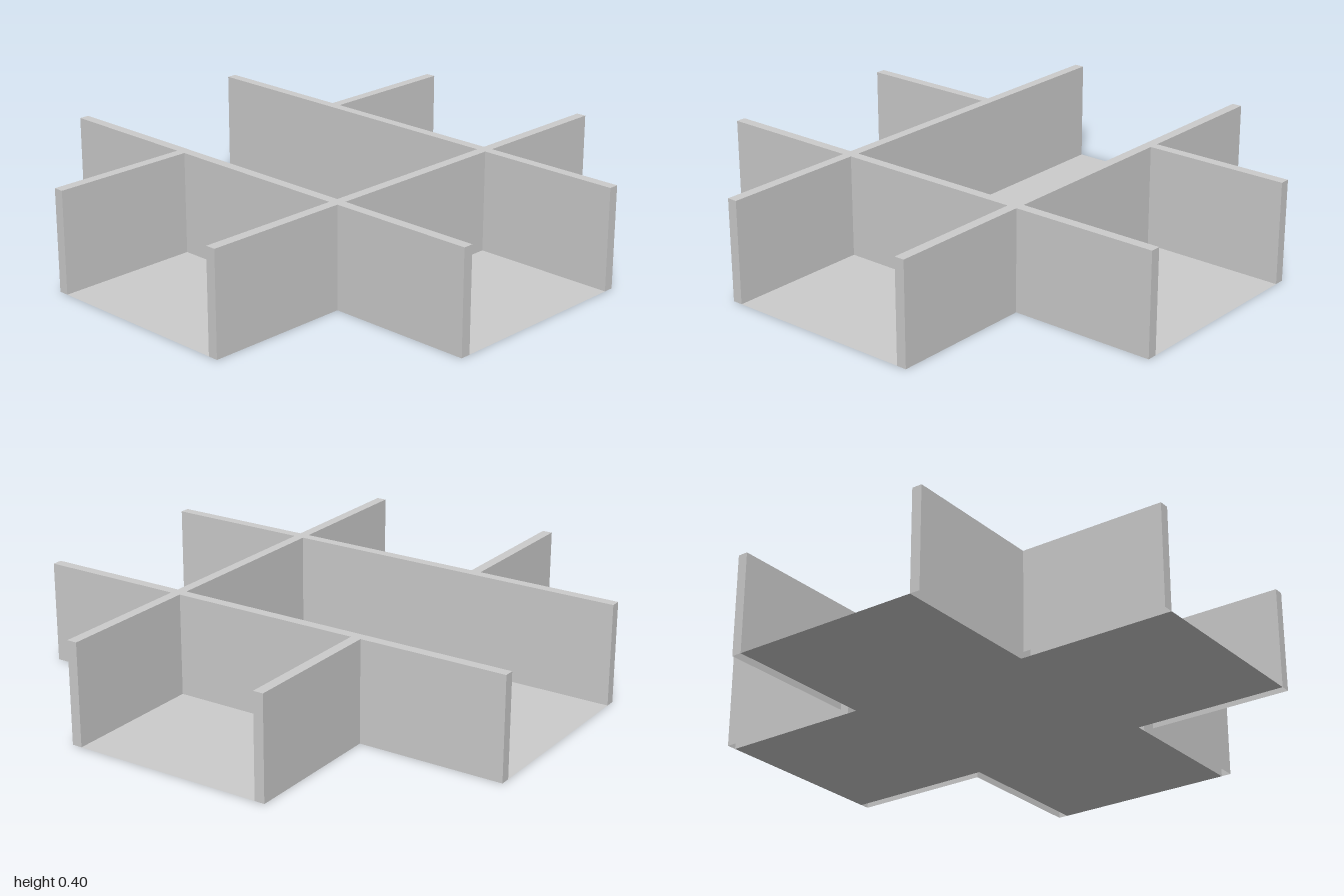
import * as THREE from 'three';

const HEIGHT = 0.4;
const IN = 0.38;   // inner wall face
const OUT = 0.42;  // outer wall face

// Plan shape in (x, z) from its +x half, mirrored to -x
function mirroredShape(half) {
  const other = half.map(([x, z]) => [-x, z]).reverse();
  return new THREE.Shape([...half, ...other].map(([x, z]) => new THREE.Vector2(x, z)));
}

// Hollow walls: drop the triangles lying on the ground
function openBottom(geometry) {
  const p = geometry.attributes.position;
  const kept = [];
  for (let i = 0; i < p.count; i += 3) {
    if (Math.max(p.getY(i), p.getY(i + 1), p.getY(i + 2)) > 0.001) kept.push(i, i + 1, i + 2);
  }
  geometry.clearGroups();
  geometry.setIndex(kept);
  return geometry;
}

export function createModel() {
  const group = new THREE.Group();
  group.name = 'crossShapedPartitions';
  const material = new THREE.MeshStandardMaterial({
    color: 0xcccccc, flatShading: true, side: THREE.DoubleSide,
  });

  // Two long walls, a front crossbar and side wings; the back bay stays open
  const wallPlan = mirroredShape([
    [IN, OUT], [IN, 1], [OUT, 1], [OUT, OUT], [1, OUT], [1, IN], [OUT, IN],
    [OUT, -IN], [1, -IN], [1, -OUT], [OUT, -OUT], [OUT, -1], [IN, -1], [IN, IN],
  ]);
  const wallGeometry = new THREE.ExtrudeGeometry(wallPlan, { depth: HEIGHT, bevelEnabled: false });
  wallGeometry.rotateX(Math.PI / 2).translate(0, HEIGHT, 0);
  const walls = new THREE.Mesh(openBottom(wallGeometry), material);
  walls.name = 'walls';
  group.add(walls);

  // Thin cross-shaped floor reaching the inner wall faces
  const floorPlan = mirroredShape([
    [IN, 1], [IN, IN], [1, IN], [1, -IN], [IN, -IN], [IN, -1],
  ]);
  const floor = new THREE.Mesh(new THREE.ShapeGeometry(floorPlan).rotateX(Math.PI / 2), material);
  floor.name = 'floor';
  group.add(floor);

  return group;
}
